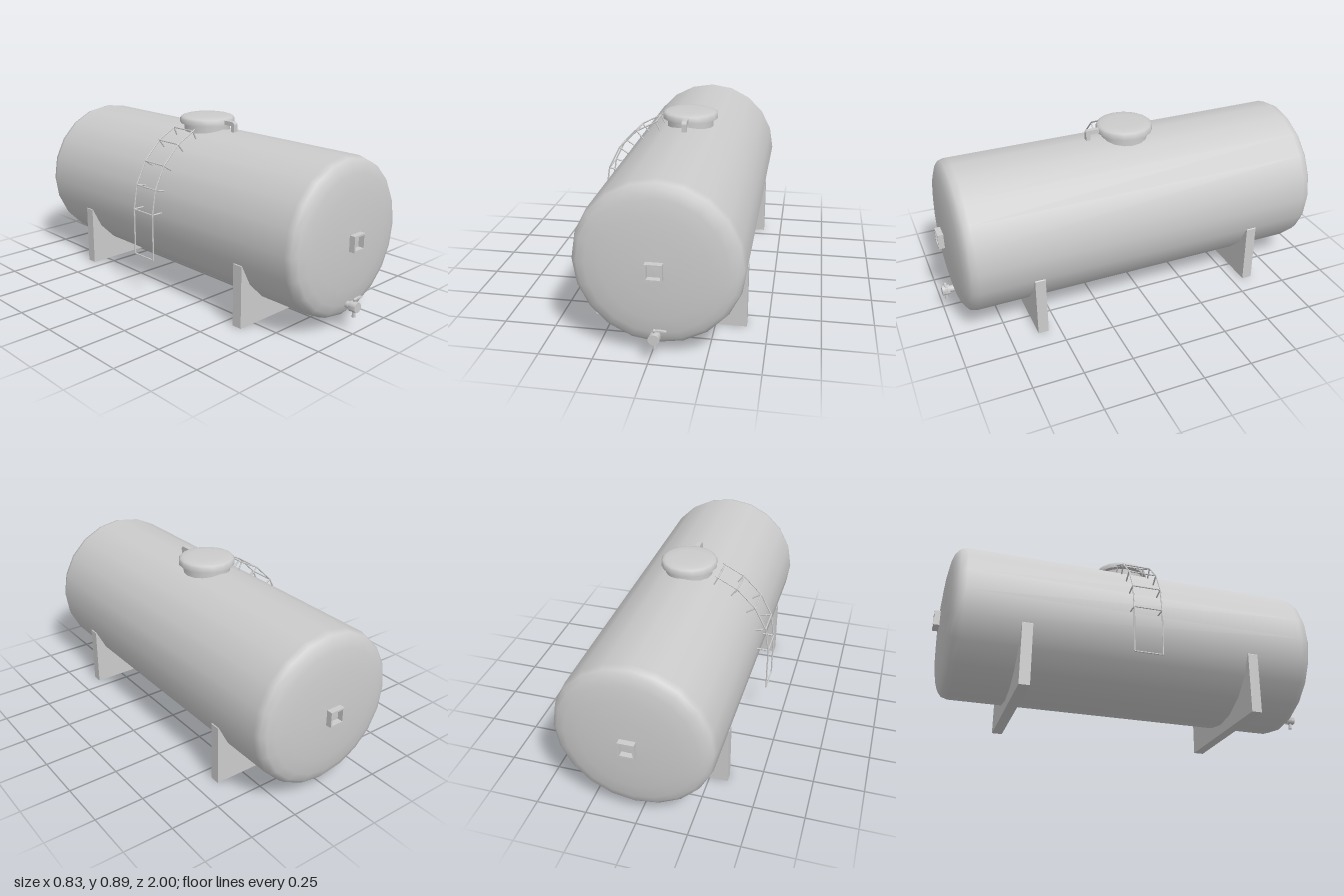
import * as THREE from 'three';
import { toCreasedNormals } from 'three/addons/utils/BufferGeometryUtils.js';

const material = new THREE.MeshStandardMaterial({ color: 0xcccccc });
const CX = 0.028, CY = 0.437, R = 0.387, SIDES = 20;
const V = (x, y, z) => new THREE.Vector3(x, y, z);

export function createModel() {
  const model = new THREE.Group();
  model.name = 'storageTank';

  const add = (parent, name, geometry, x = 0, y = 0, z = 0) => {
    const mesh = new THREE.Mesh(geometry, material);
    mesh.name = name;
    mesh.position.set(x, y, z);
    parent.add(mesh);
    return mesh;
  };
  const group = (name) => {
    const g = new THREE.Group();
    g.name = name;
    model.add(g);
    return g;
  };
  const lathe = (points, sides) =>
    new THREE.LatheGeometry(points.map(([r, y]) => new THREE.Vector2(r, y)), sides);
  // straight round bar between two points
  const rod = (parent, name, a, b, r = 0.004, sides = 6) => {
    const g = new THREE.CylinderGeometry(r, r, a.distanceTo(b), sides);
    const mid = a.clone().add(b).multiplyScalar(0.5);
    const mesh = add(parent, name, toCreasedNormals(g, 1.1), mid.x, mid.y, mid.z);
    mesh.quaternion.setFromUnitVectors(V(0, 1, 0), b.clone().sub(a).normalize());
  };
  // flat outline with thickness centred on its local z
  const plate = (shape, depth) =>
    new THREE.ExtrudeGeometry(shape, { depth, bevelEnabled: false, curveSegments: 4 })
      .translate(0, 0, -depth / 2);

  // tank shell with shallow domed ends
  const dome = [[0, 0.967], [0.13, 0.964], [0.24, 0.956], [0.315, 0.944],
    [0.355, 0.93], [0.377, 0.912], [R, 0.88]];
  const profile = [...dome.map(([r, y]) => [r, -y]), ...[...dome].reverse()];
  add(model, 'tankShell', lathe(profile, SIDES).rotateX(Math.PI / 2), CX, CY, -0.005);

  // saddle supports, cut out to follow the shell
  const saddle = new THREE.Shape();
  saddle.moveTo(-0.342, 0);
  saddle.lineTo(0.399, 0);
  saddle.lineTo(0.399, 0.312);
  for (let i = -1; i >= -9; i--) {
    const a = (i / SIDES) * Math.PI * 2;
    saddle.lineTo(CX + Math.cos(a) * (R - 0.004), CY + Math.sin(a) * (R - 0.004));
  }
  saddle.lineTo(-0.342, 0.312);
  for (const z of [0.583, -0.587]) add(model, 'saddleSupport', plate(saddle, 0.053), 0, 0, z);

  // hollow square sockets on both ends
  const square = (h) => [[-h, -h], [h, -h], [h, h], [-h, h]].map(([x, y]) => new THREE.Vector2(x, y));
  const socket = new THREE.Shape(square(0.039));
  socket.holes.push(new THREE.Path(square(0.031).reverse()));
  for (const z of [0.97, -0.98]) add(model, 'endSocket', plate(socket, 0.04), CX, CY, z);

  // hatch: neck, rounded lid and hinge arm
  const hatch = group('hatch');
  hatch.position.set(CX, 0, -0.01);
  add(hatch, 'hatchNeck', new THREE.CylinderGeometry(0.12, 0.12, 0.07, 16), 0, 0.82, 0);
  const lid = [[0, 0.848], [0.143, 0.848], [0.143, 0.872], [0.136, 0.88],
    [0.122, 0.885], [0.08, 0.888], [0, 0.889]];
  add(hatch, 'hatchLid', toCreasedNormals(lathe(lid, 16), 0.9));
  const arm = new THREE.Shape();
  arm.moveTo(0.13, 0.853);
  arm.lineTo(0.187, 0.853);
  arm.lineTo(0.187, 0.823);
  arm.lineTo(0.209, 0.823);
  arm.lineTo(0.209, 0.862);
  arm.quadraticCurveTo(0.207, 0.875, 0.19, 0.875);
  arm.lineTo(0.13, 0.875);
  add(hatch, 'hatchHinge', plate(arm, 0.024).rotateY(-Math.PI / 2));

  // ladder curving over the shell: rails, rungs and stand-off struts
  const ladder = group('ladder');
  const path = [[-0.415, 0.207], [-0.415, 0.446], [-0.395, 0.572], [-0.337, 0.686],
    [-0.243, 0.78], [-0.13, 0.838]];
  const rungs = [...path.slice(0, 5), [-0.142, 0.832]];
  const feet = [null, [-0.355, 0.446], [-0.338, 0.557], [-0.286, 0.652], [-0.208, 0.737], [-0.12, 0.787]];
  const railZ = [-0.082, 0.063];
  for (const z of railZ) {
    for (let i = 1; i < path.length; i++) {
      rod(ladder, 'ladderRail', V(...path[i - 1], z), V(...path[i], z));
      rod(ladder, 'ladderStrut', V(...rungs[i], z), V(...feet[i], z));
    }
  }
  for (const p of rungs) rod(ladder, 'ladderRung', V(...p, railZ[0]), V(...p, railZ[1]));

  // drain valve: pipe, body, spout, stem and lever
  const valve = group('drainValve');
  valve.position.set(CX, 0.122, 0);
  rod(valve, 'valvePipe', V(0, 0, 0.92), V(0, 0, 0.965), 0.018, 8);
  rod(valve, 'valveBody', V(0, 0, 0.962), V(0, 0, 1.0), 0.026, 10);
  rod(valve, 'valveSpout', V(0, -0.052, 0.98), V(0, 0, 0.98), 0.009, 8);
  rod(valve, 'valveStem', V(0, 0, 0.98), V(0, 0.04, 0.98), 0.004, 8);
  add(valve, 'valveKnob', new THREE.SphereGeometry(0.008, 8, 6), 0, 0.036, 0.98);
  const lever = new THREE.Shape();
  lever.moveTo(0, 0.032);
  lever.quadraticCurveTo(0.03, 0.036, 0.054, 0.033);
  lever.lineTo(0.054, 0.038);
  lever.quadraticCurveTo(0.03, 0.044, 0, 0.038);
  add(valve, 'valveLever', plate(lever, 0.012), 0, 0, 0.98);

  return model;
}
